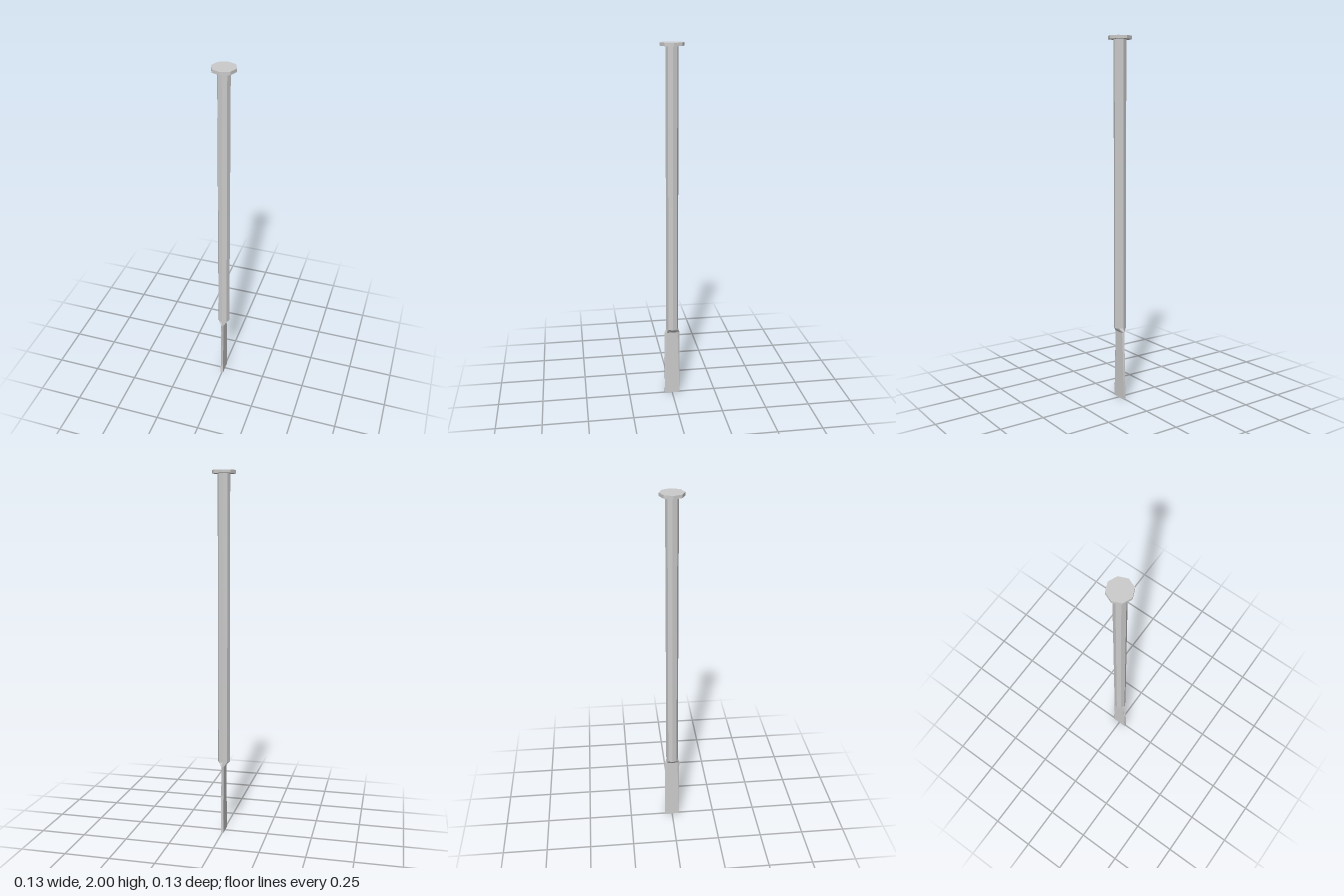
import * as THREE from 'three';

const SHAFT_R = 0.034, T = 0.0075, BLADE_Z = 0.043;

// Eight-point ring from one quadrant's side, corner and end points
function ring(y, side, cornerX, cornerZ, end) {
  return [
    [side, 0], [cornerX, cornerZ], [0, end], [-cornerX, cornerZ],
    [-side, 0], [-cornerX, -cornerZ], [0, -end], [cornerX, -cornerZ],
  ].map(([x, z]) => [x, y, z]);
}

// Skin rings listed from bottom to top, closing the bottom
function loft(rings) {
  const pos = [];
  const n = rings[0].length;
  for (let k = 0; k < rings.length - 1; k++) {
    for (let i = 0; i < n; i++) {
      const j = (i + 1) % n;
      const a = rings[k][i], b = rings[k][j], c = rings[k + 1][j], d = rings[k + 1][i];
      pos.push(...a, ...d, ...c, ...a, ...c, ...b);
    }
  }
  for (let i = 1; i < n - 1; i++) pos.push(...rings[0][0], ...rings[0][i], ...rings[0][i + 1]);
  const geo = new THREE.BufferGeometry();
  geo.setAttribute('position', new THREE.Float32BufferAttribute(pos, 3));
  geo.computeVertexNormals();
  return geo;
}

export function createModel() {
  const group = new THREE.Group();
  group.name = 'chisel';
  const material = new THREE.MeshStandardMaterial({ color: 0xcccccc, flatShading: true });
  const add = (name, geo) => {
    const mesh = new THREE.Mesh(geo, material);
    mesh.name = name;
    group.add(mesh);
    return mesh;
  };

  // Round shaft
  const d = SHAFT_R * Math.SQRT1_2;
  const shaftEnd = ring(0.41, SHAFT_R, d, d, SHAFT_R);
  add('shaft', loft([shaftEnd, ring(1.985, SHAFT_R, d, d, SHAFT_R)]));

  // Flat blade: pointed edges at the shoulder run out to a square tip
  add('blade', loft([
    ring(0, T, T, BLADE_Z, BLADE_Z),
    ring(0.385, T, T, 0.031, BLADE_Z),
    shaftEnd,
  ]));

  // Striking head
  add('head', new THREE.CylinderGeometry(0.065, 0.065, 0.017, 8)).position.y = 1.9915;

  return group;
}
